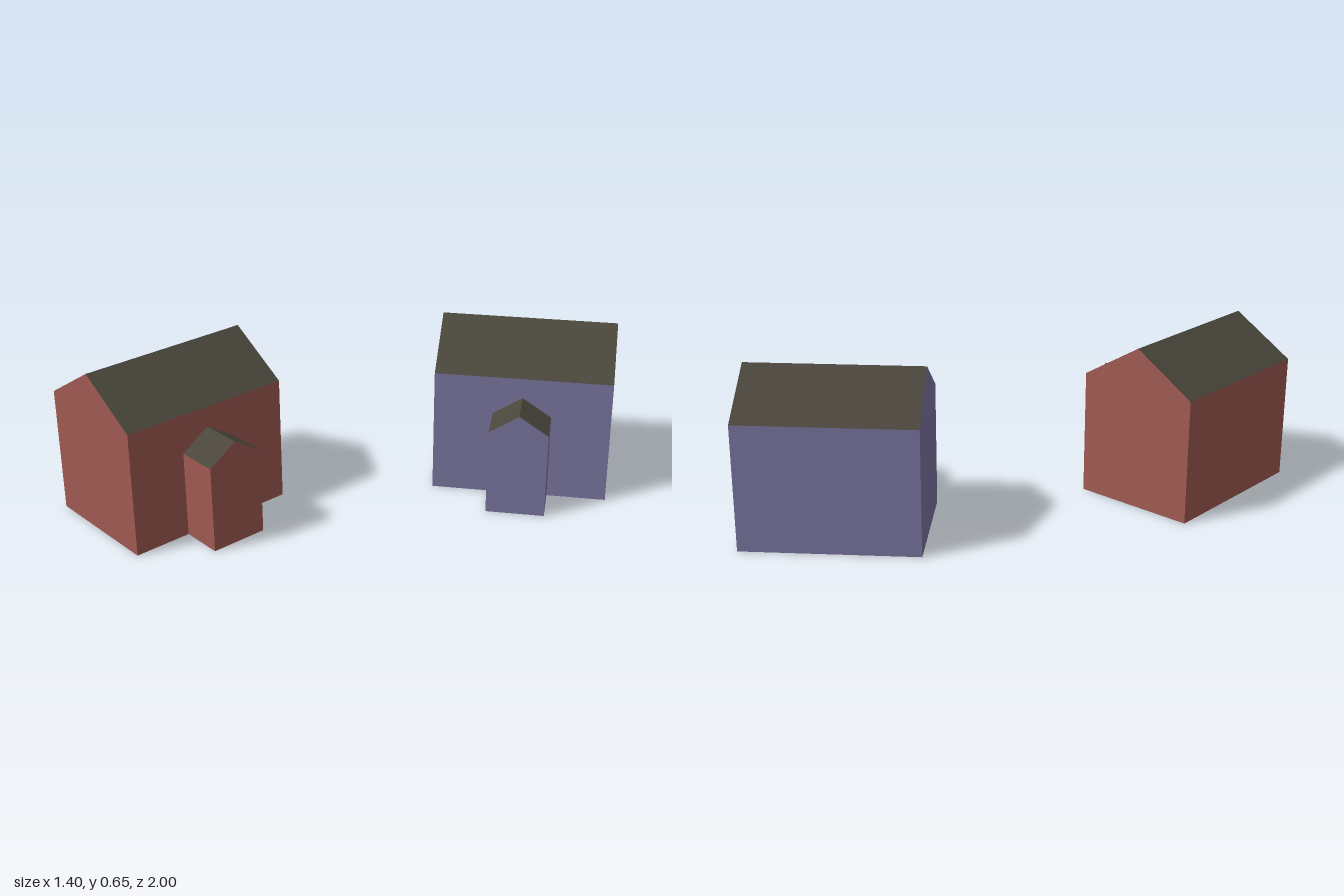
import * as THREE from 'three';

const material = (color) => new THREE.MeshStandardMaterial({ color, flatShading: true });

// Flat panels sweeping an open, counter-clockwise outline from z0 to z1.
function sweep(points, z0, z1) {
  const pos = [];
  for (let i = 0; i < points.length - 1; i++) {
    const a = points[i], b = points[i + 1];
    const A = [...a, z1], B = [...a, z0], C = [...b, z0], D = [...b, z1];
    pos.push(...A, ...B, ...C, ...A, ...C, ...D);
  }
  const geometry = new THREE.BufferGeometry();
  geometry.setAttribute('position', new THREE.Float32BufferAttribute(pos, 3));
  geometry.computeVertexNormals();
  return geometry;
}

// Gabled block with its ridge along z; the back gable is optional.
function gabledBlock(name, halfWidth, eave, peak, z0, z1, wallMat, roofMat, backGable) {
  const group = new THREE.Group();
  group.name = name;
  const add = (part, geometry, mat) => {
    const mesh = new THREE.Mesh(geometry, mat);
    mesh.name = name + part;
    group.add(mesh);
    return mesh;
  };
  const w = halfWidth;
  const outline = [[-w, eave], [-w, 0], [w, 0], [w, eave], [0, peak]];

  // Side walls and floor, then the two roof slopes
  add('Walls', sweep(outline.slice(0, 4), z0, z1), wallMat);
  add('Roof', sweep([[w, eave], [0, peak], [-w, eave]], z0, z1), roofMat);

  // Gable ends
  const gable = new THREE.ShapeGeometry(
    new THREE.Shape(outline.map(([x, y]) => new THREE.Vector2(x, y))));
  add('FrontGable', gable, wallMat).position.z = z1;
  if (backGable) {
    const back = add('BackGable', gable, wallMat);
    back.position.z = z0;
    back.rotation.y = Math.PI;
  }
  return group;
}

// House with a small entrance porch on its +x side
function house(name, wallColor, x, z, angle) {
  const walls = material(wallColor), roof = material(0x4a463c);
  const group = new THREE.Group();
  group.name = name;
  group.add(gabledBlock('mainBuilding', 0.25, 0.5, 0.655, -0.345, 0.345, walls, roof, true));
  const porch = gabledBlock('porch', 0.114, 0.345, 0.42, 0.25, 0.418, walls, roof, false);
  porch.rotation.y = Math.PI / 2;
  group.add(porch);
  group.position.set(x, 0, z);
  group.rotation.y = angle;
  return group;
}

export function createModel() {
  const model = new THREE.Group();
  model.name = 'twoHouses';
  model.add(house('redHouse', 0xa05a53, -0.448, 0.655, 0));
  model.add(house('blueHouse', 0x7c76a2, 0.272, -0.592, -0.906));
  return model;
}
